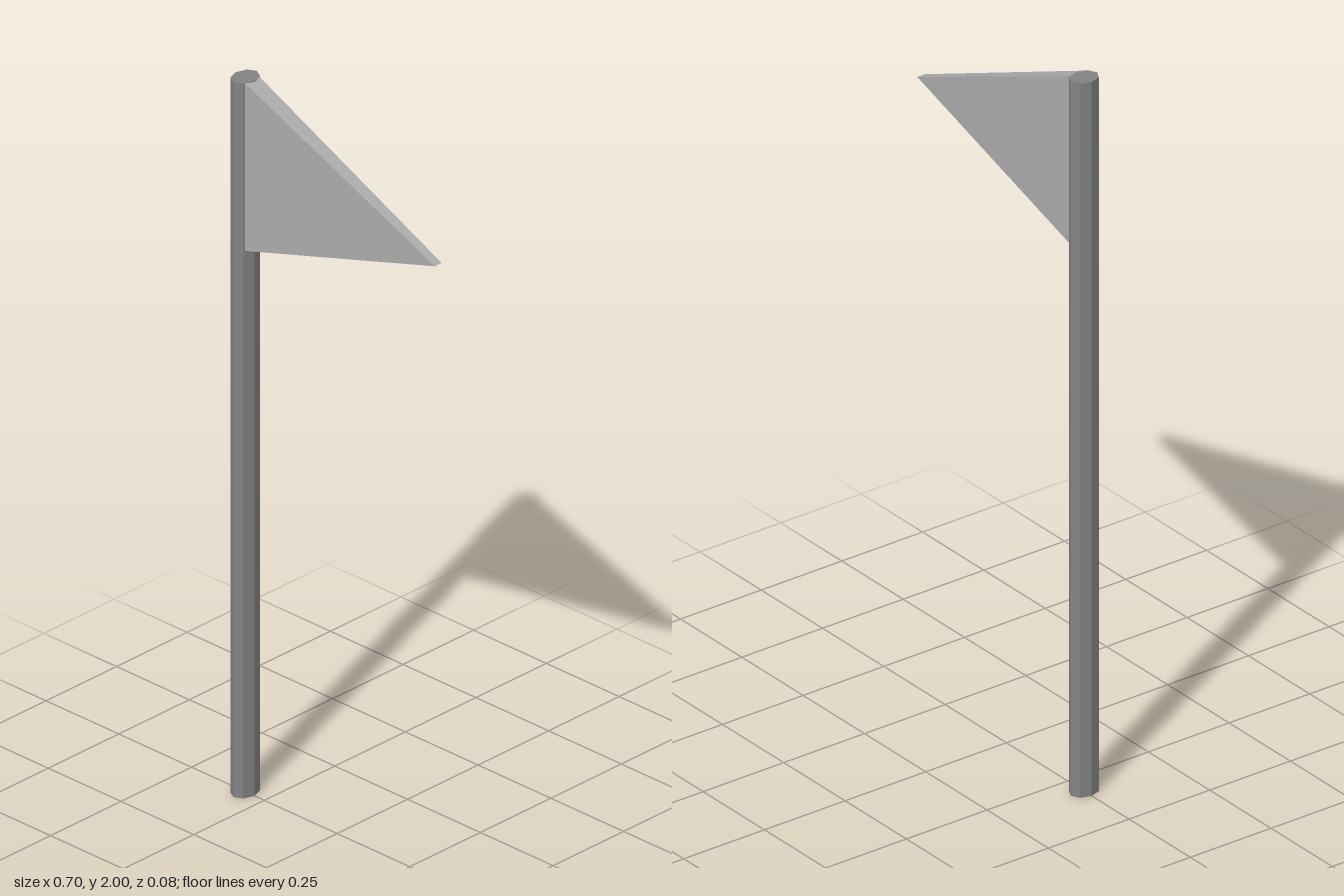
import * as THREE from 'three';

function addPart(group, name, geometry, color) {
  const material = new THREE.MeshStandardMaterial({ color, flatShading: true });
  const mesh = new THREE.Mesh(geometry, material);
  mesh.name = name;
  group.add(mesh);
  return mesh;
}

export function createModel() {
  const group = new THREE.Group();
  group.name = 'pennantFlag';

  // Eight-sided dark pole, slightly flattened across x
  const poleGeometry = new THREE.CylinderGeometry(1, 1, 2, 8);
  poleGeometry.scale(0.032, 1, 0.041);
  addPart(group, 'pole', poleGeometry, 0x828282).position.set(-0.316, 1, 0);

  // Triangular lighter pennant, thick at the pole and thinner at the tip
  const hoistX = -0.293, tipX = 0.348;
  const outline = new THREE.Shape([
    new THREE.Vector2(hoistX, 1.53),
    new THREE.Vector2(tipX, 1.72),
    new THREE.Vector2(hoistX, 2),
  ]);
  const flagGeometry = new THREE.ExtrudeGeometry(outline, { depth: 2, bevelEnabled: false });
  flagGeometry.translate(0, 0, -1);
  const p = flagGeometry.attributes.position;
  for (let i = 0; i < p.count; i++) {
    const t = (p.getX(i) - hoistX) / (tipX - hoistX);
    p.setZ(i, p.getZ(i) * THREE.MathUtils.lerp(0.025, 0.012, t));
  }
  flagGeometry.computeVertexNormals();
  addPart(group, 'flag', flagGeometry, 0xacacac);

  return group;
}
